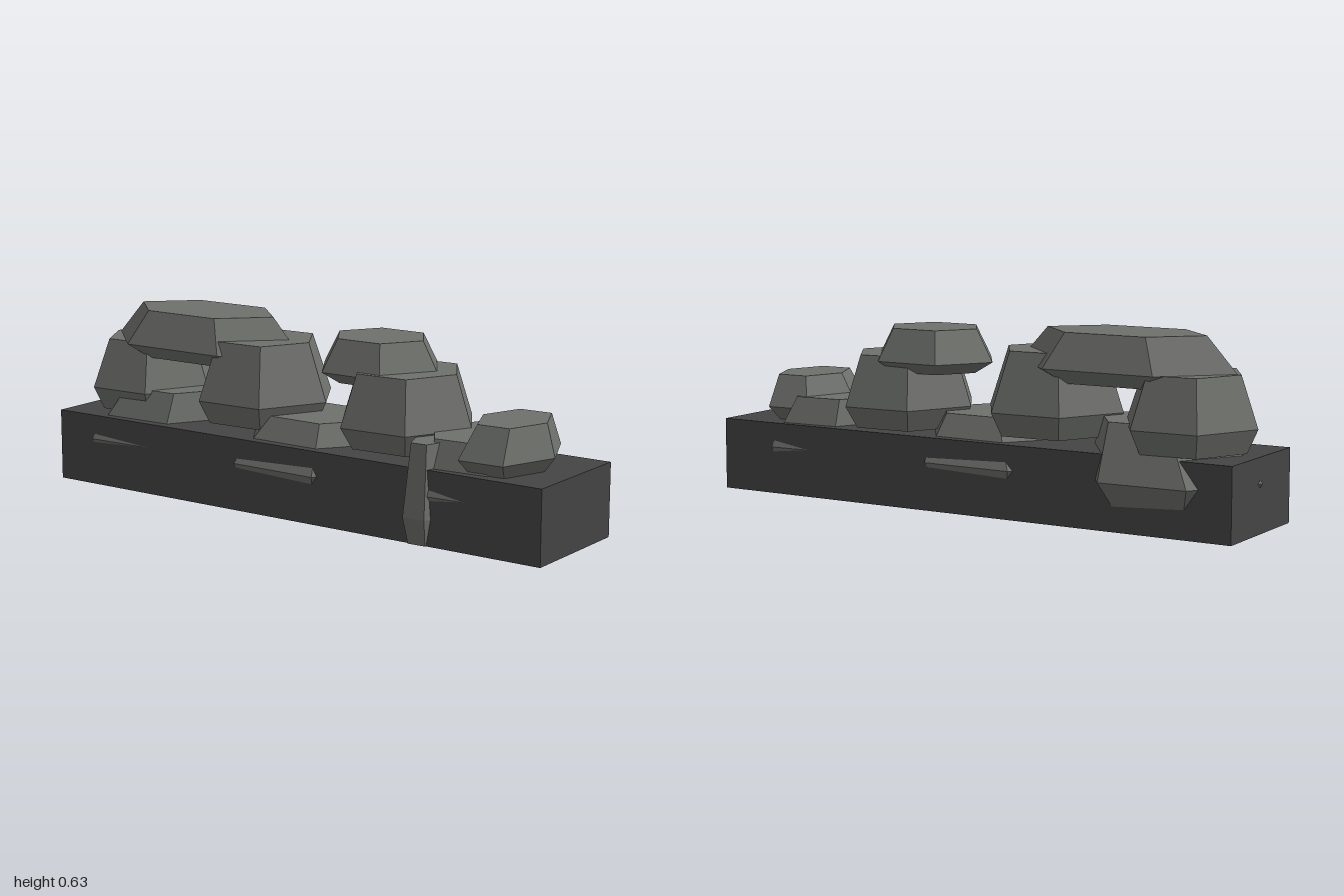
import * as THREE from 'three';

export function createModel() {
  const group = new THREE.Group();
  group.name = 'stoneWall';

  const stone = new THREE.MeshStandardMaterial({ color: 0x6e706c, flatShading: true });
  stone.name = 'stone grey';
  const dark = new THREE.MeshStandardMaterial({ color: 0x444444, flatShading: true });
  dark.name = 'dark mortar';

  // Long mortar bed that the rocks sit in
  const bed = new THREE.Mesh(new THREE.BoxGeometry(1.98, 0.25, 0.44), dark);
  bed.name = 'bed';
  bed.position.set(0.01, 0.125, 0.01);
  group.add(bed);

  // Six-sided rock: hx and hz are half sizes at its widest ring,
  // [bottom, middle, top] are heights, rb and rt shrink the end rings
  function rock(name, x, z, hx, hz, [bottom, middle, top], rb, rt, turn = 0, topShift = 0) {
    const profile = [[0, bottom], [rb, bottom], [1, middle], [rt, top], [0, top]]
      .map(([r, y]) => new THREE.Vector2(r, y));
    const geometry = new THREE.LatheGeometry(profile, 6, Math.PI / 2);
    geometry.scale(hx, 1, hz / Math.sin(Math.PI / 3));
    // Slide the top face sideways
    const p = geometry.attributes.position;
    for (let i = 0; i < p.count; i++) {
      if (p.getY(i) > top - 1e-4) p.setX(i, p.getX(i) + topShift);
    }
    geometry.rotateY(turn);
    const mesh = new THREE.Mesh(geometry, stone);
    mesh.name = name;
    mesh.position.set(x, 0, z);
    group.add(mesh);
  }

  // Bottom course, half sunk in the bed
  rock('baseRockRight', -0.68, -0.01, 0.31, 0.243, [0.08, 0.165, 0.35], 0.8, 0.68, 0.03, 0.05);
  rock('baseRockMiddle', -0.02, 0.01, 0.33, 0.232, [0.08, 0.165, 0.325], 0.8, 0.62, -0.02, 0.03);
  rock('baseRockLeft', 0.68, 0.01, 0.25, 0.222, [0.08, 0.165, 0.34], 0.8, 0.7, 0.06, -0.03);

  // Middle course
  rock('middleRockRight', -0.75, -0.03, 0.23, 0.215, [0.26, 0.34, 0.51], 0.84, 0.74, 0.04);
  rock('middleRockCentre', -0.24, -0.01, 0.25, 0.22, [0.275, 0.355, 0.555], 0.84, 0.72, 0.04);
  rock('middleRockLeft', 0.34, -0.02, 0.245, 0.22, [0.26, 0.335, 0.51], 0.82, 0.76, 0.05);
  rock('endRockLeft', 0.77, 0.035, 0.16, 0.195, [0.25, 0.298, 0.408], 0.78, 0.72, 0.04, 0.015);

  // Top course
  rock('topRockRight', -0.505, -0.02, 0.4, 0.197, [0.46, 0.51, 0.627], 0.72, 0.73);
  rock('topRockLeft', 0.22, -0.04, 0.23, 0.178, [0.455, 0.495, 0.605], 0.7, 0.73);

  // Upright stone at the front and the underside of a buried one
  rock('uprightRock', 0.545, 0.15, 0.08, 0.107, [0, 0.09, 0.33], 0.8, 0.72, 0.04);
  rock('buriedRock', 0.86, 0.12, 0.1, 0.075, [-0.002, 0.04, 0.12], 0.9, 0.8);

  return group;
}
